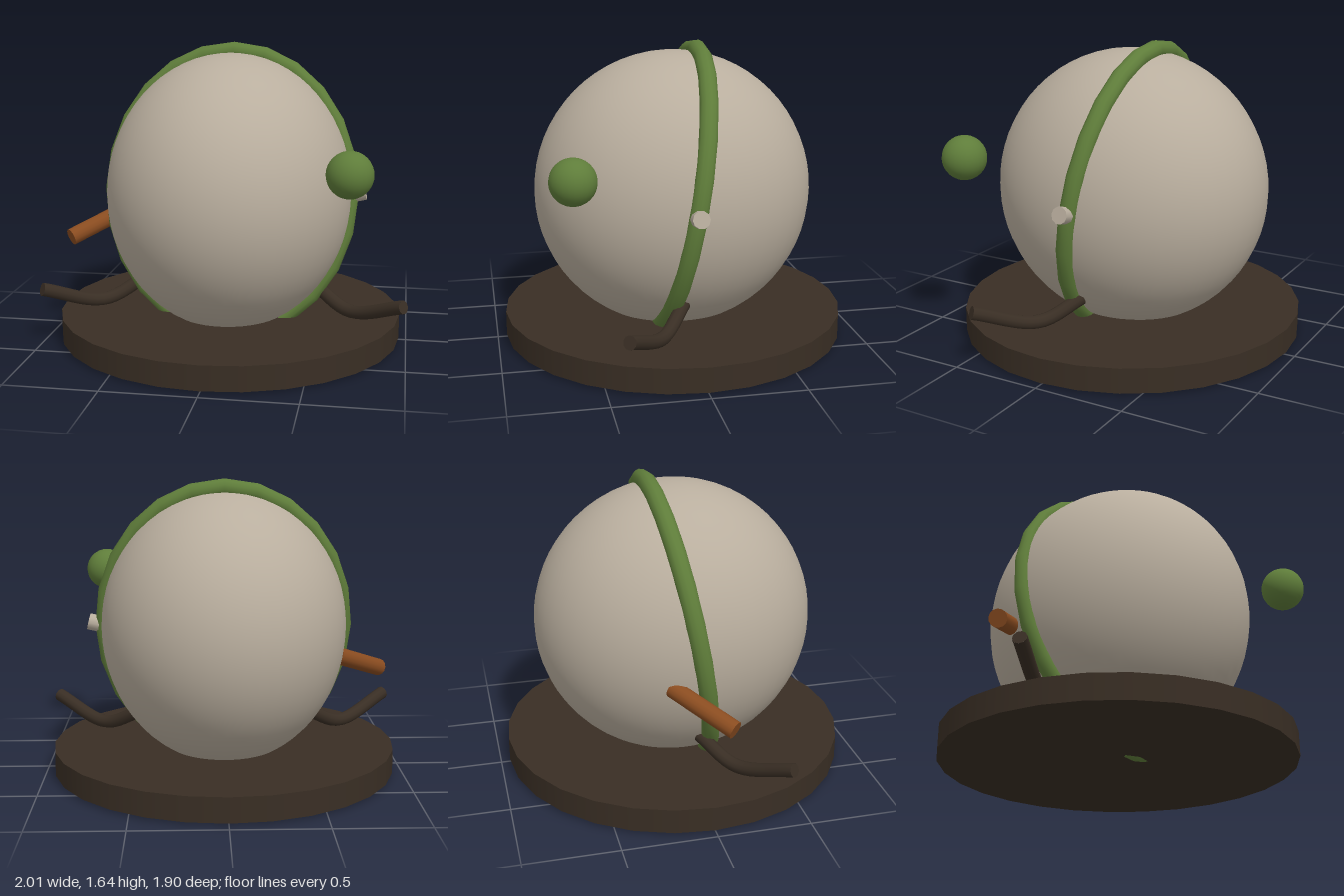
import * as THREE from 'three';

const mat = (name, color, extra = {}) => {
  const m = new THREE.MeshStandardMaterial({ color, ...extra });
  m.name = name;
  return m;
};

export function createModel() {
  const stone = mat('pale stone', 0xb9ae9e);
  const green = mat('moss green', 0x5f7d3a);
  const dark = mat('dark wood', 0x392e24);
  const rust = mat('rust brown', 0x8a4c20);

  const model = new THREE.Group();
  model.name = 'model';

  const add = (name, geometry, material, x = 0, y = 0, z = 0) => {
    const mesh = new THREE.Mesh(geometry, material);
    mesh.name = name;
    mesh.position.set(x, y, z);
    model.add(mesh);
    return mesh;
  };

  // Solid cylinder between two points
  const rod = (name, from, to, radius, sides, material) => {
    const a = new THREE.Vector3(...from);
    const b = new THREE.Vector3(...to);
    const dir = b.clone().sub(a);
    const mesh = add(name, new THREE.CylinderGeometry(radius, radius, dir.length(), sides), material);
    mesh.position.copy(a).add(b).multiplyScalar(0.5);
    mesh.quaternion.setFromUnitVectors(new THREE.Vector3(0, 1, 0), dir.normalize());
    return mesh;
  };

  // Round base
  add('base', new THREE.CylinderGeometry(0.96, 0.96, 0.135, 28), dark, 0, 0.0875, 0).scale.z = 0.99;

  // Egg-shaped body, narrower from side to side
  add('body', new THREE.SphereGeometry(0.77, 48, 32), stone, 0, 0.83, 0).scale.x = 0.885;

  // Tilted band around the body
  const band = add('band', new THREE.TorusGeometry(0.785, 0.05, 12, 24), green, 0, 0.83, 0);
  band.scale.x = 0.86;
  band.rotation.x = -0.175;

  // Floating ball
  add('ball', new THREE.SphereGeometry(0.12, 24, 16), green, 0.698, 1.063, 0.628);

  // Small knob on the band
  rod('knob', [0.65, 0.828, 0], [0.754, 0.852, 0], 0.046, 10, stone);

  // Slanted peg on the other side
  rod('peg', [-0.9, 0.553, 0.108], [-0.62, 0.682, -0.15], 0.048, 14, rust);

  // Curved arms with capped ends
  for (const s of [1, -1]) {
    const curve = new THREE.CatmullRomCurve3([
      new THREE.Vector3(s * 0.49, 0.315, 0.035),
      new THREE.Vector3(s * 0.69, 0.22, 0.18),
      new THREE.Vector3(s * 0.98, 0.327, 0.402),
    ]);
    const name = s > 0 ? 'leftArm' : 'rightArm';
    add(name, new THREE.TubeGeometry(curve, 16, 0.037, 10), dark);
    for (const t of [0, 1]) {
      const p = curve.getPoint(t);
      const out = curve.getTangent(t).multiplyScalar(t ? 1 : -1);
      const cap = add(name + 'Cap', new THREE.CircleGeometry(0.037, 10), dark, p.x, p.y, p.z);
      cap.quaternion.setFromUnitVectors(new THREE.Vector3(0, 0, 1), out);
    }
  }

  return model;
}
